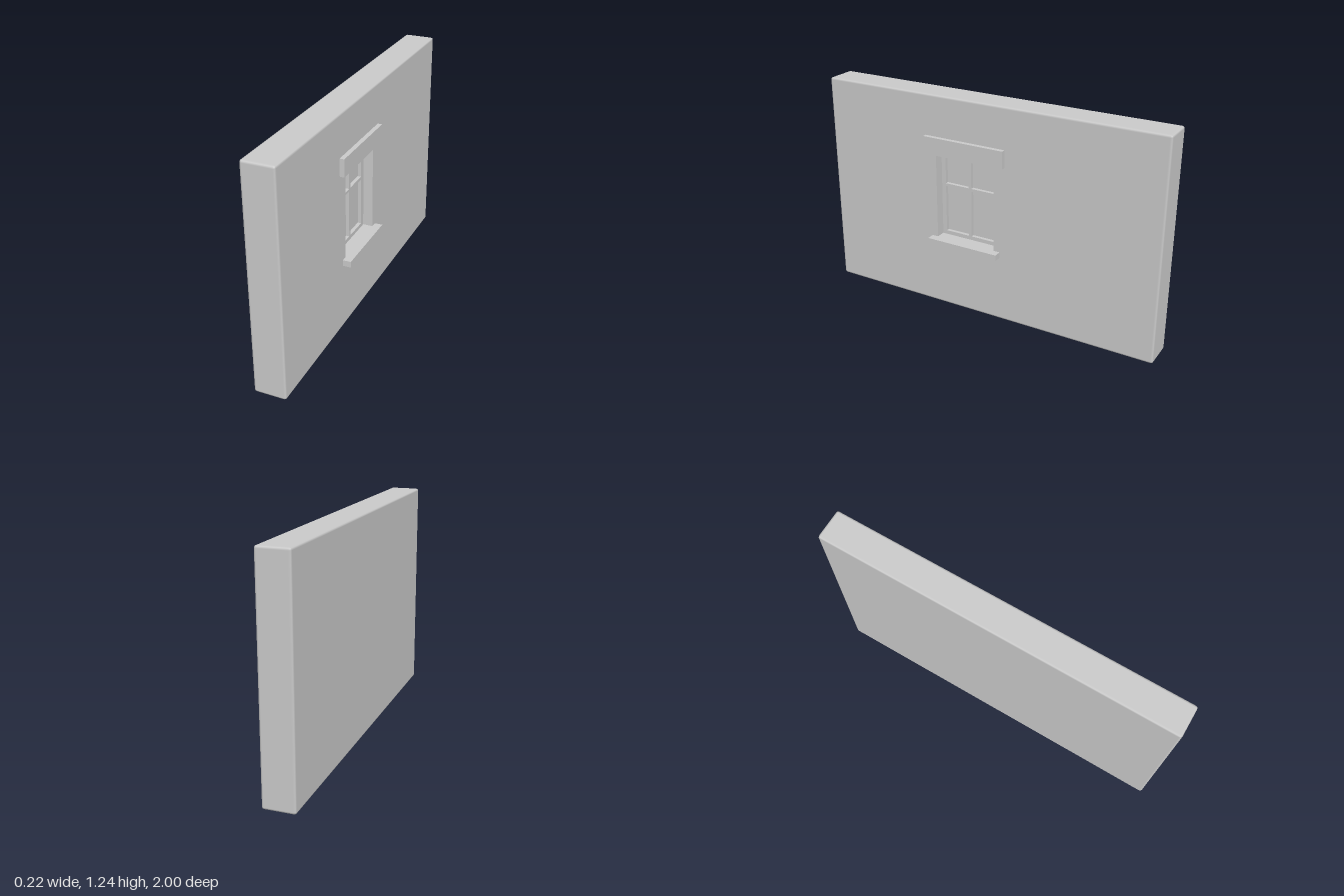
import * as THREE from 'three';
import { RoundedBoxGeometry } from 'three/addons/geometries/RoundedBoxGeometry.js';

// Local frame: x along the wall, y up, z out of the wall; turned to face +x at the end.
const LENGTH = 2, HEIGHT = 1.235, BACK = -0.11, FACE = 0.065, BEVEL = 0.013;
const RECESS = 0.055, FRAME_DEPTH = 0.02;
const OPENING = [-0.30, 0.414, 0.06, 0.907]; // x0, y0, x1, y1

const material = new THREE.MeshStandardMaterial({ color: 0xcccccc });

function rect(Type, [x0, y0, x1, y1]) {
  const path = new Type();
  path.moveTo(x0, y0).lineTo(x1, y0).lineTo(x1, y1).lineTo(x0, y1).closePath();
  return path;
}

// Flat panel with rectangular holes, its front at z
function panel(outer, holes, depth, z) {
  const shape = rect(THREE.Shape, outer);
  shape.holes = holes.map((h) => rect(THREE.Path, h));
  return new THREE.ExtrudeGeometry(shape, { depth, bevelEnabled: false }).translate(0, 0, z - depth);
}

function block([x0, y0, x1, y1], z0, z1) {
  return new THREE.BoxGeometry(x1 - x0, y1 - y0, z1 - z0)
    .translate((x0 + x1) / 2, (y0 + y1) / 2, (z0 + z1) / 2);
}

// Bevelled wall body, left open where the pierced face goes
function wallShell() {
  const box = new RoundedBoxGeometry(LENGTH, HEIGHT, FACE - BACK, 1, BEVEL)
    .translate(0, HEIGHT / 2, (FACE + BACK) / 2);
  const p = box.attributes.position, n = box.attributes.normal;
  const positions = [], normals = [];
  for (let i = 0; i < p.count; i += 3) {
    if ([0, 1, 2].every((k) => p.getZ(i + k) > FACE - 1e-4)) continue;
    for (let k = i; k < i + 3; k++) {
      positions.push(p.getX(k), p.getY(k), p.getZ(k));
      normals.push(n.getX(k), n.getY(k), n.getZ(k));
    }
  }
  const shell = new THREE.BufferGeometry();
  shell.setAttribute('position', new THREE.Float32BufferAttribute(positions, 3));
  shell.setAttribute('normal', new THREE.Float32BufferAttribute(normals, 3));
  return shell;
}

export function createModel() {
  const wall = new THREE.Group();
  wall.name = 'wallWithWindow';
  const add = (name, geometry) => {
    const mesh = new THREE.Mesh(geometry, material);
    mesh.name = name;
    wall.add(mesh);
  };

  // Wall, with the face carrying the window recess
  add('wallBody', wallShell());
  const faceEdge = [-LENGTH / 2 + BEVEL, BEVEL, LENGTH / 2 - BEVEL, HEIGHT - BEVEL];
  add('wallFace', panel(faceEdge, [OPENING], RECESS, FACE));

  // Window frame with four panes
  const panes = [];
  for (const [x0, x1] of [[-0.275, -0.131], [-0.112, 0.03]])
    for (const [y0, y1] of [[0.436, 0.706], [0.722, 0.877]]) panes.push([x0, y0, x1, y1]);
  const frameFront = FACE - RECESS;
  add('windowFrame', panel(OPENING, panes, FRAME_DEPTH, frameFront));
  add('glass', block(OPENING, frameFront - FRAME_DEPTH - 0.01, frameFront - FRAME_DEPTH));

  // Lintel and sill
  add('lintel', block([-0.364, 0.907, 0.123, 1.005], FACE - 0.01, 0.09));
  add('sill', block([-0.336, 0.38, 0.097, 0.414], FACE - 0.01, 0.11));

  wall.rotation.y = Math.PI / 2;
  const model = new THREE.Group();
  model.name = 'model';
  model.add(wall);
  return model;
}
